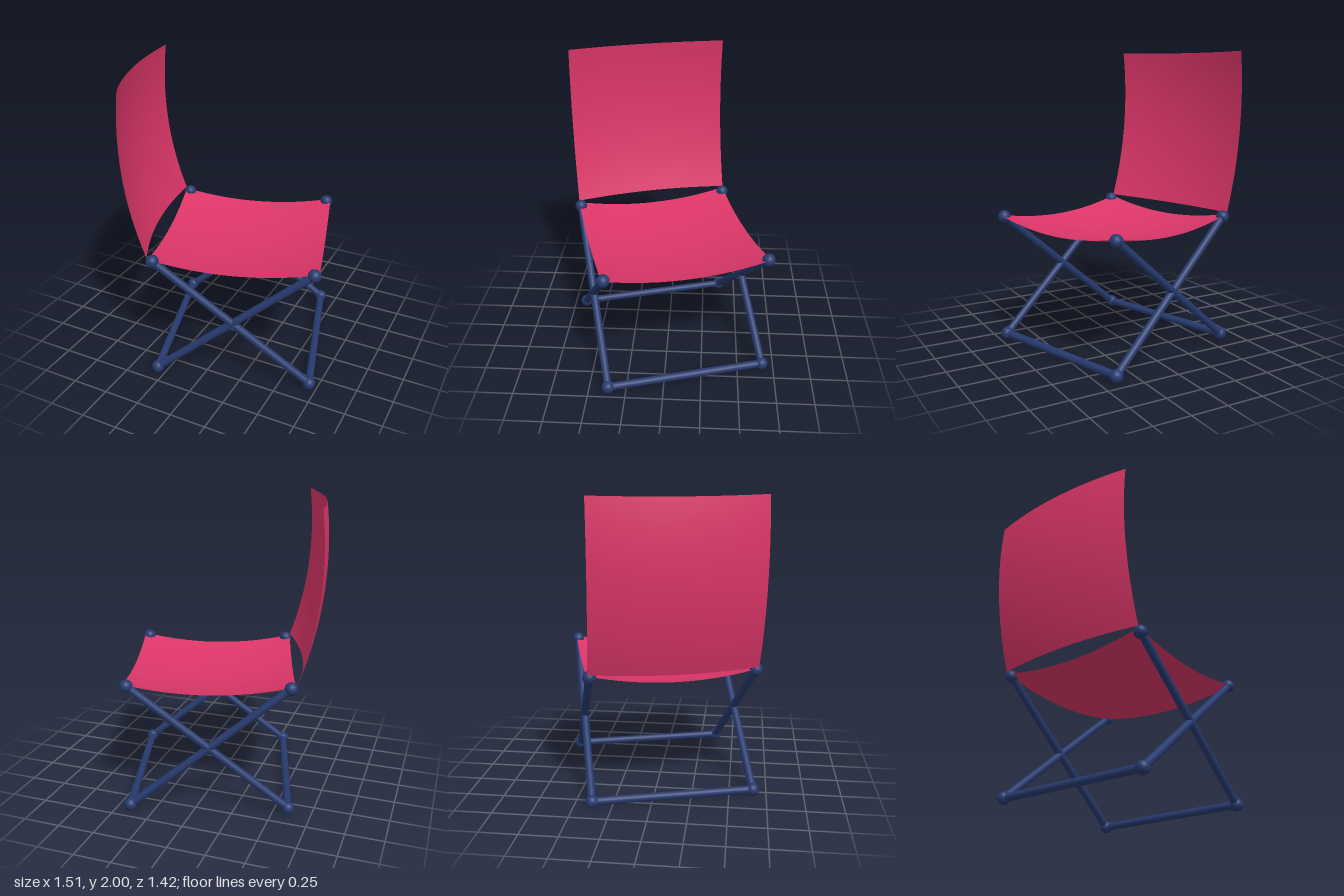
import * as THREE from 'three';

const frameMat = new THREE.MeshStandardMaterial({ color: 0x263a6e });
const clothMat = new THREE.MeshStandardMaterial({ color: 0xdc3668, side: THREE.DoubleSide });

const HX = 0.52, HZ = 0.539; // half distances between frame joints
const LOW = 0.043, HIGH = 0.88; // joint heights

// Square cloth that curves up evenly towards its corners
function cloth(name) {
  const geo = new THREE.PlaneGeometry(1.1, 1.1, 24, 24).rotateX(-Math.PI / 2);
  const p = geo.attributes.position;
  for (let i = 0; i < p.count; i++) {
    p.setY(i, 0.215 * (p.getX(i) ** 2 + p.getZ(i) ** 2));
  }
  geo.computeVertexNormals();
  const mesh = new THREE.Mesh(geo, clothMat);
  mesh.name = name;
  return mesh;
}

// Round bar between two points
function rod(name, a, b) {
  const dir = b.clone().sub(a);
  const mesh = new THREE.Mesh(new THREE.CylinderGeometry(0.026, 0.026, dir.length(), 24), frameMat);
  mesh.position.copy(a).add(b).multiplyScalar(0.5);
  mesh.quaternion.setFromUnitVectors(new THREE.Vector3(0, 1, 0), dir.normalize());
  mesh.name = name;
  return mesh;
}

export function createModel() {
  const model = new THREE.Group();
  model.name = 'foldingChair';

  // The whole chair is turned a little about the upright axis
  const chair = new THREE.Group();
  chair.name = 'chair';
  chair.position.set(0.05, 0, -0.005);
  chair.rotation.y = 0.285;
  model.add(chair);

  const at = (sx, y, sz) => new THREE.Vector3(sx * HX, y, sz * HZ);
  const ballGeo = new THREE.SphereGeometry(0.043, 24, 16);

  for (const s of [-1, 1]) {
    // Crossed legs on each side, and a floor bar at each end
    chair.add(rod('crossLeg', at(-1, HIGH, s), at(1, LOW, s)));
    chair.add(rod('crossLeg', at(-1, LOW, s), at(1, HIGH, s)));
    chair.add(rod('floorBar', at(s, LOW, -1), at(s, LOW, 1)));

    // Ball joints at every rod end
    for (const sz of [-1, 1]) {
      for (const y of [LOW, HIGH]) {
        const ball = new THREE.Mesh(ballGeo, frameMat);
        ball.position.copy(at(s, y, sz));
        ball.name = 'ballJoint';
        chair.add(ball);
      }
    }
  }

  // Sagging seat
  const seat = cloth('seat');
  seat.position.y = 0.766;
  chair.add(seat);

  // Backrest: the same cloth stood up and leaned back
  const back = cloth('backrest');
  back.position.set(-0.74, 1.439, -0.003);
  back.rotation.z = -(Math.PI / 2 - 0.106);
  chair.add(back);

  return model;
}
